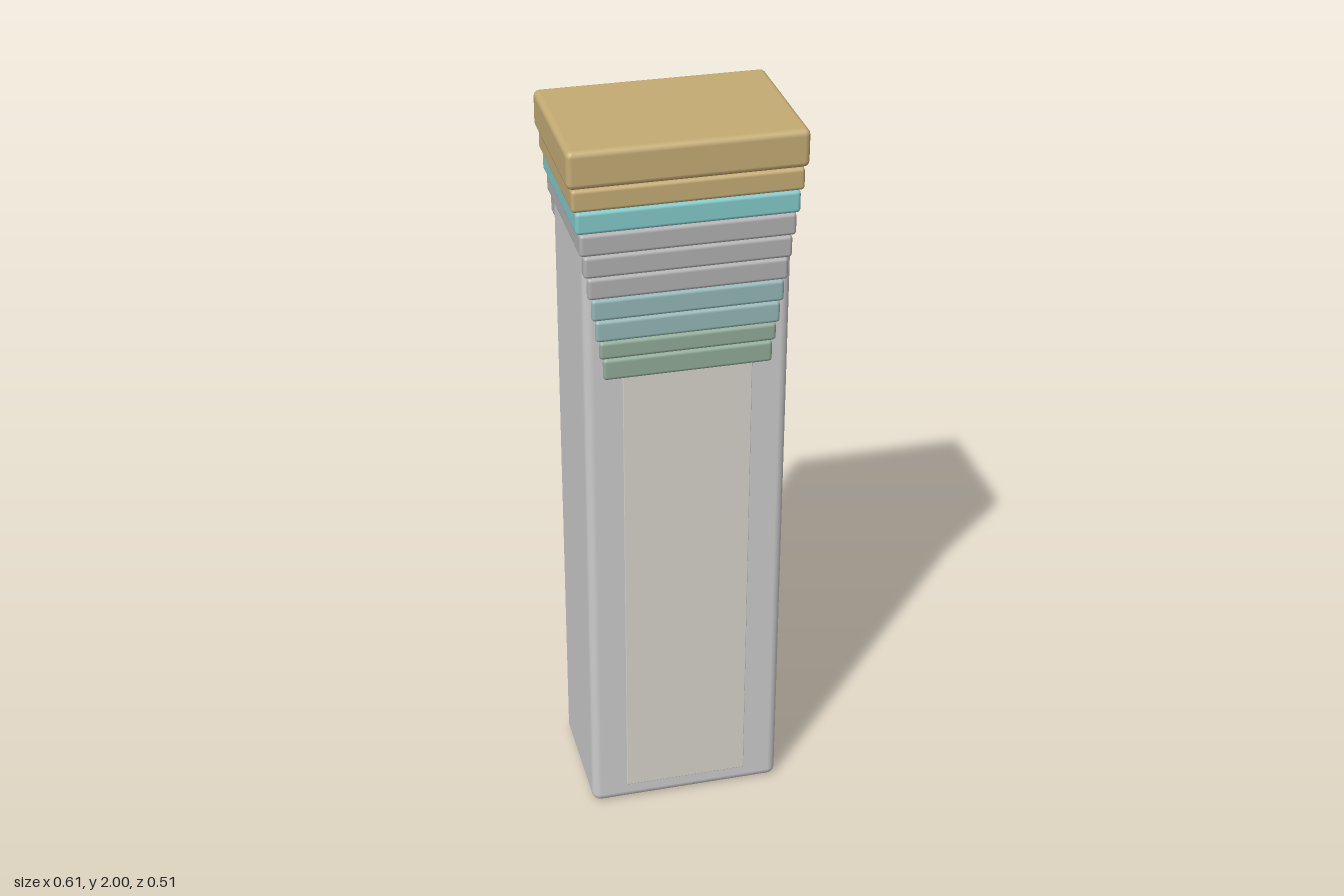
import * as THREE from 'three';
import { RoundedBoxGeometry } from 'three/addons/geometries/RoundedBoxGeometry.js';

const mat = (color) => new THREE.MeshStandardMaterial({ color });
const grey = mat(0xcccccc), gold = mat(0xc4ab74), cyan = mat(0x82c8c8), steel = mat(0xb0b0b0),
  teal = mat(0x93b6b5), sage = mat(0x90ab98), slate = mat(0x5d6b73), cream = mat(0xd6d3ca),
  mint = mat(0x86bfad), amber = mat(0xc08a48), panelGrey = mat(0x8b9194);

export function createModel() {
  const model = new THREE.Group();

  // Soft-edged box given by its half width and its y and z limits
  function block(parent, name, material, hw, y0, y1, z0, z1, r) {
    const geo = new RoundedBoxGeometry(2 * hw, y1 - y0, z1 - z0, 2, r);
    const mesh = new THREE.Mesh(geo, material);
    mesh.position.set(0, (y0 + y1) / 2, (z0 + z1) / 2);
    mesh.name = name;
    parent.add(mesh);
    return mesh;
  }
  function group(name) {
    const g = new THREE.Group();
    g.name = name;
    model.add(g);
    return g;
  }

  // Main column with thin face panels
  block(model, 'body', grey, 0.268, 0, 1.78, -0.126, 0.242, 0.025);
  block(model, 'frontPanel', cream, 0.17, 0.05, 1.4, 0.235, 0.2435, 0.002);
  block(model, 'backPanel', panelGrey, 0.2, 0.03, 1.4, -0.1275, -0.115, 0.002);

  // Flared head: stacked slabs that narrow downwards through the body
  const head = group('flaredHead');
  const bands = [gold, gold, cyan, steel, steel, steel, teal, teal, sage, sage];
  const edges = [2, 1.9, 1.84, 1.78, 1.72, 1.66, 1.6, 1.54, 1.48, 1.43, 1.37];
  bands.forEach((m, i) => {
    const hw = i === 0 ? 0.304 : 0.302 - i * 0.009;
    const inset = i === 0 ? 0 : 0.003;
    block(head, 'headSlab', m, hw, edges[i + 1], edges[i], -0.168 + inset, 0.254 - inset, i === 0 ? 0.016 : 0.01);
  });

  // Stepped dark spine on the back
  const spine = group('backSpine');
  const steps = 13, top = 1.63, pitch = 0.06;
  for (let i = 0; i < steps; i++) {
    const y = top - i * pitch;
    block(spine, 'spineStep', slate, 0.185 - i * 0.0068, y - pitch, y, -0.162 + (y < 1.1 ? 0.007 : 0), -0.1, 0.008);
  }

  // Tapered dark plate
  const shape = new THREE.Shape();
  shape.moveTo(-0.128, 1.105);
  shape.lineTo(0.128, 1.105);
  shape.lineTo(0.16, 1.735);
  shape.lineTo(-0.16, 1.735);
  shape.closePath();
  const plateGeo = new THREE.ExtrudeGeometry(shape, {
    depth: 0.01, bevelThickness: 0.004, bevelSize: 0.004, bevelSegments: 1,
  });
  const plate = new THREE.Mesh(plateGeo, slate);
  plate.position.z = -0.179;
  plate.name = 'backPlate';
  model.add(plate);

  // Slanted bar from a top point to a bottom point, lying on the back
  function bar(parent, name, material, xt, yt, xb, yb, z, w, d) {
    const len = Math.hypot(xt - xb, yt - yb);
    const mesh = new THREE.Mesh(new RoundedBoxGeometry(w, len, d, 2, Math.min(w, d) * 0.3), material);
    mesh.position.set((xt + xb) / 2, (yt + yb) / 2, z);
    mesh.rotation.z = -Math.atan2(xt - xb, yt - yb);
    mesh.name = name;
    parent.add(mesh);
  }
  // Bar that turns amber below a given height
  function twoToneBar(parent, xt, yt, xb, yb, split, z, w, d) {
    if (yb >= split) return bar(parent, 'bar', mint, xt, yt, xb, yb, z, w, d);
    const xs = xb + (xt - xb) * (split - yb) / (yt - yb);
    bar(parent, 'bar', mint, xt, yt, xs, split, z, w, d);
    bar(parent, 'barTip', amber, xs, split, xb, yb, z, w, d);
  }

  // Upper bars, growing longer towards the left
  const upper = group('upperBars');
  for (let i = 0; i < 9; i++) {
    const t = i / 8, x = -0.142 + 0.284 * t, yb = 1.54 - 0.39 * t;
    const squeeze = 1 - 0.2 * (1.66 - yb) / 0.5;
    twoToneBar(upper, x, 1.66, x * squeeze, yb, 1.34, -0.184, 0.017, 0.012);
  }

  // Stack of thin fins, narrowing downwards
  const fins = group('fins');
  for (let i = 0; i < 10; i++) {
    const y = 1.07 - i * 0.0311;
    block(fins, 'fin', cream, 0.118 - i * 0.003, y - 0.02, y, -0.257, -0.12, 0.004);
  }

  // Lower bars, fanned and stepping up towards the right
  const lower = group('lowerBars');
  for (let i = 0; i < 8; i++) {
    const t = i / 7, x = 0.145 - 0.285 * t, yb = 0.4 + 0.09 * t;
    twoToneBar(lower, x, yb + 0.195, x * 0.78, yb, 0.5 - 0.04 * t, -0.137, 0.022, 0.024);
  }

  return model;
}
